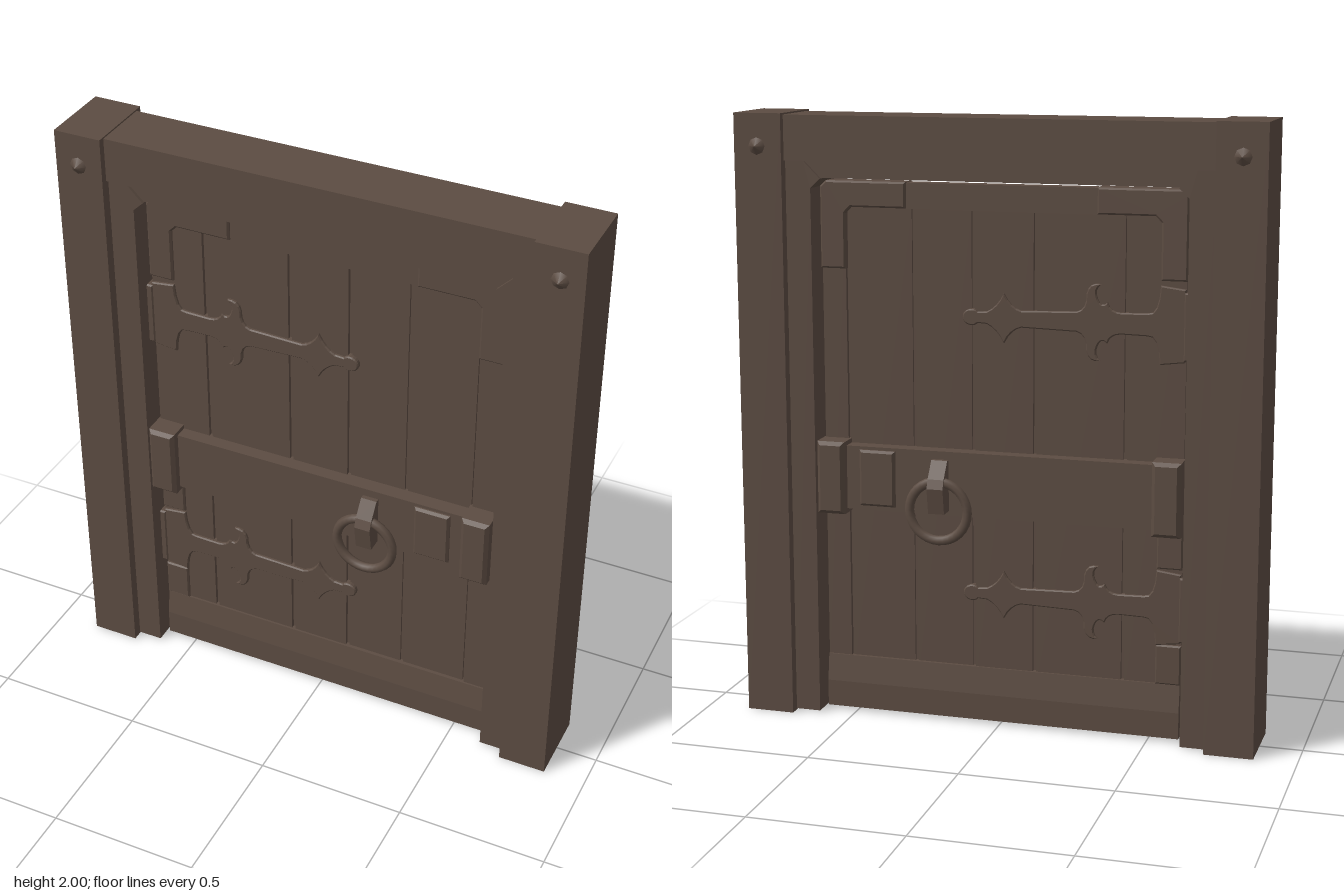
import * as THREE from 'three';

export function createModel() {
  const root = new THREE.Group();
  root.name = 'framedDoor';
  const wood = new THREE.MeshStandardMaterial({ color: 0x5c4c42 });
  wood.name = 'dark brown';

  const add = (name, geo) => {
    const mesh = new THREE.Mesh(geo, wood);
    mesh.name = name;
    root.add(mesh);
    return mesh;
  };
  // Slab from x0..x1, y0..y1, reaching z on both faces
  const slab = (name, x0, x1, y0, y1, z) => {
    const g = new THREE.BoxGeometry(x1 - x0, y1 - y0, 2 * z);
    return add(name, g.translate((x0 + x1) / 2, (y0 + y1) / 2, 0));
  };
  // Outline cut through the whole thickness, with optional bevelled edges
  const plate = (name, pts, z, bevel = 0) => {
    const shape = Array.isArray(pts) ? new THREE.Shape(pts.map(p => new THREE.Vector2(...p))) : pts;
    const depth = 2 * (z - bevel);
    const g = new THREE.ExtrudeGeometry(shape, {
      depth, curveSegments: 6, bevelEnabled: bevel > 0, bevelSegments: 1,
      bevelThickness: bevel, bevelSize: bevel, bevelOffset: -bevel,
    });
    return add(name, g.translate(0, 0, -depth / 2));
  };
  const rect = (x0, x1, y0, y1) => [[x0, y0], [x1, y0], [x1, y1], [x0, y1]];
  const mirrorX = pts => pts.map(([x, y]) => [-x, y]);

  // Frame: posts, lintel, jambs with mitred tops
  slab('lintel', -0.7, 0.7, 1.85, 1.995, 0.102);
  slab('lintelTrim', -0.65, 0.65, 1.795, 1.85, 0.08);
  const jamb = [[0.7, 0.004], [0.7, 1.85], [0.64, 1.85], [0.583, 1.793], [0.616, 1.762], [0.616, 0.004]];
  plate('leftJamb', jamb, 0.09);
  plate('rightJamb', mirrorX(jamb), 0.09);
  for (const s of [-1, 1]) {
    slab('post', s * 0.78 - 0.08, s * 0.78 + 0.08, 0, 2, 0.125);
    // Faceted rivets on both faces of each post
    for (const f of [-1, 1]) {
      const g = new THREE.ConeGeometry(0.028, 0.022, 8).rotateX(f * Math.PI / 2);
      add('rivet', g.translate(s * 0.783, 1.895, f * 0.136));
    }
  }

  // Door leaf: thin core, raised planks with grooves between them
  plate('doorCore', [[-0.602, 0.012], [0.602, 0.012], [0.602, 1.762], [0.582, 1.782],
    [-0.582, 1.782], [-0.602, 1.762]], 0.012);
  const planks = [[-0.602, -0.417, 0.025], [-0.405, -0.12, 0.025], [-0.108, 0.086, 0.025],
    [0.098, 0.287, 0.02], [0.298, 0.516, 0.02]];
  for (const [x0, x1, z] of planks) slab('plank', x0, x1, 0.15, 1.7, z);
  slab('doorStile', 0.522, 0.602, 0.15, 1.7, 0.026);
  plate('topRail', [[-0.602, 1.698], [0.602, 1.698], [0.602, 1.762], [0.582, 1.782],
    [-0.582, 1.782], [-0.602, 1.762]], 0.026);
  slab('bottomRail', -0.602, 0.602, 0.012, 0.1, 0.045);
  // Sloped cap above the bottom rail
  const slope = new THREE.Shape([[-0.045, 0.1], [0.045, 0.1], [0.032, 0.19], [-0.032, 0.19]]
    .map(p => new THREE.Vector2(...p)));
  add('bottomRailSlope', new THREE.ExtrudeGeometry(slope, { depth: 1.204, bevelEnabled: false })
    .translate(0, 0, -0.602).rotateY(Math.PI / 2));

  // L-shaped corner brackets
  const bracket = [[0.605, 1.5], [0.605, 1.765], [0.585, 1.784], [0.315, 1.784], [0.315, 1.7],
    [0.5, 1.7], [0.52, 1.68], [0.52, 1.5]];
  plate('leftCornerBracket', bracket, 0.037, 0.006);
  plate('rightCornerBracket', mirrorX(bracket), 0.037, 0.006);
  for (const [y0, y1] of [[0.19, 0.322], [0.575, 0.7]]) {
    plate('edgePlate', rect(-0.604, -0.52, y0, y1), 0.036, 0.005);
  }

  // Ornamental hinge straps with knuckles at the door edge
  const strap = y => {
    const s = new THREE.Shape();
    const half = k => { // upper edge of the strap, from the door edge to the tip
      const q = (a, b, c, d) => [a, y + k * b, c, y + k * d];
      return [
        [-0.6, y + k * 0.115], [-0.52, y + k * 0.125],
        q(-0.515, 0.03, -0.48, 0.036), [-0.395, y + k * 0.034],
        q(-0.36, 0.035, -0.35, 0.065), q(-0.33, 0.045, -0.318, 0.075),
        q(-0.305, 0.105, -0.33, 0.122), q(-0.29, 0.13, -0.282, 0.09),
        q(-0.285, 0.04, -0.25, 0.032), [-0.07, y + k * 0.027],
        q(-0.035, 0.035, -0.012, 0.08), q(0.01, 0.035, 0.045, 0.02),
        [0.075, y + k * 0.018], q(0.085, 0.03, 0.105, 0.025), q(0.125, 0.018, 0.125, 0),
      ];
    };
    // Sample one half, then mirror it for the lower edge
    const path = new THREE.Path();
    half(1).forEach((p, i) => {
      if (i === 0) path.moveTo(...p);
      else if (p.length === 2) path.lineTo(...p);
      else path.quadraticCurveTo(...p);
    });
    const top = path.getPoints(4);
    const low = top.slice(0, -1).reverse().map(p => new THREE.Vector2(p.x, 2 * y - p.y));
    s.setFromPoints([...top, ...low]);
    return s;
  };
  for (const y of [1.36, 0.445]) {
    plate('hingeStrap', strap(y), 0.036, 0.004);
    plate('hingeKnuckle', rect(-0.622, -0.595, y - 0.11, y + 0.105), 0.04, 0.005);
  }

  // Crossbar with end caps and lock plate
  slab('crossbar', -0.56, 0.56, 0.71, 0.922, 0.07);
  for (const s of [-1, 1]) {
    plate('crossbarCap', rect(s * 0.56 - 0.047, s * 0.56 + 0.047, 0.695, 0.937), 0.105, 0.012);
  }
  plate('lockPlate', rect(0.345, 0.467, 0.725, 0.912), 0.083, 0.008);

  // Pull ring and its hanger on both faces
  for (const f of [-1, 1]) {
    add('pullRing', new THREE.TorusGeometry(0.098, 0.016, 8, 32).translate(0.187, 0.732, f * 0.108));
  }
  const hanger = new THREE.Shape([[-0.085, 0.895], [-0.125, 0.84], [-0.137, 0.81], [-0.122, 0.725],
    [0.122, 0.725], [0.137, 0.81], [0.125, 0.84], [0.085, 0.895]].map(p => new THREE.Vector2(...p)));
  add('ringHanger', new THREE.ExtrudeGeometry(hanger, { depth: 0.054, bevelEnabled: false })
    .translate(0, 0, -0.027).rotateY(Math.PI / 2).translate(0.19, 0, 0));

  return root;
}
